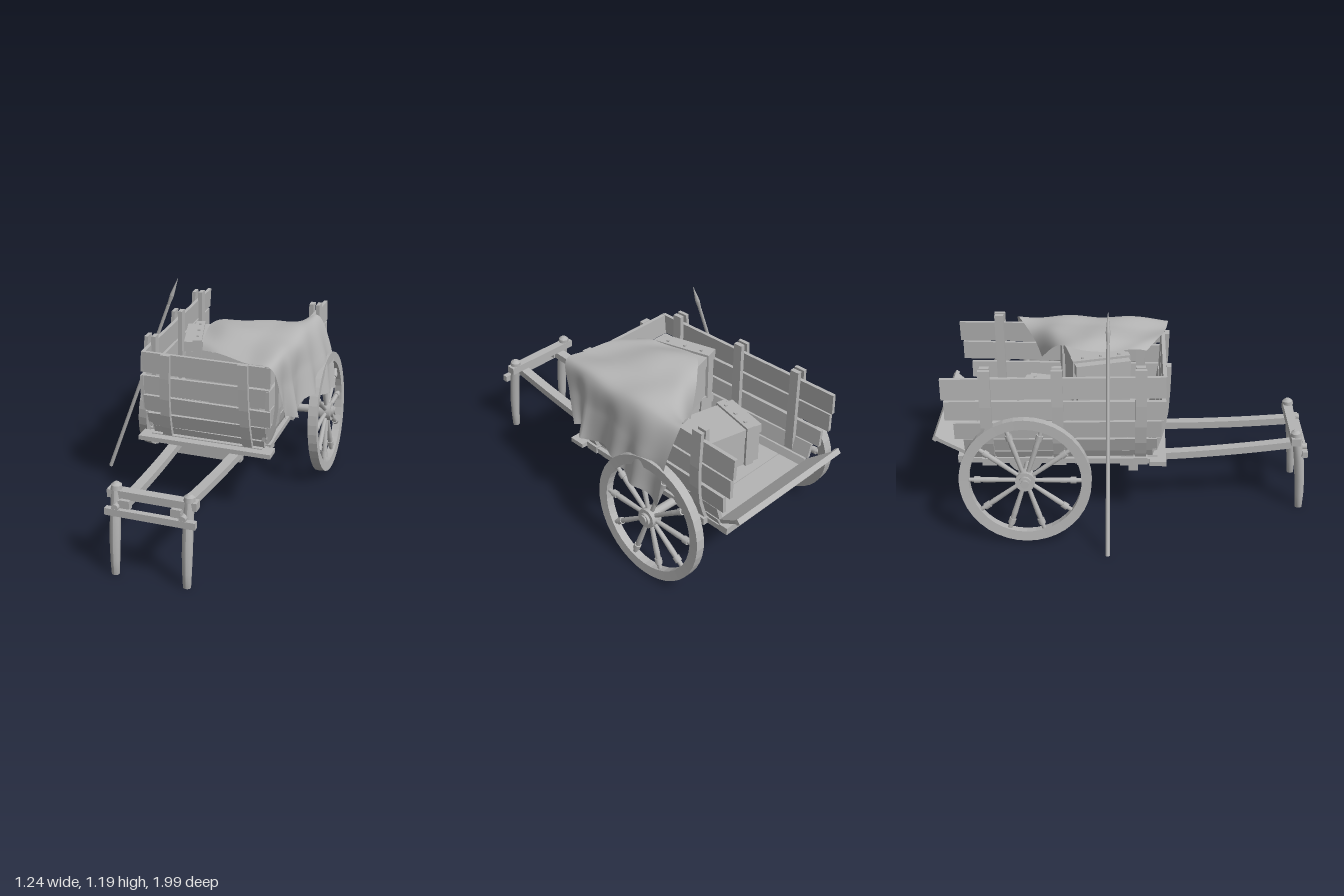
import * as THREE from 'three';

const wood = new THREE.MeshStandardMaterial({ color: 0xb4b4b4, side: THREE.DoubleSide });
wood.name = 'plain grey';
const V = (x, y, z) => new THREE.Vector3(x, y, z);
const CX = 0.07; // centre line of the cart bed

function add(parent, name, geo, x = 0, y = 0, z = 0) {
  const m = new THREE.Mesh(geo, wood);
  m.name = name;
  m.position.set(x, y, z);
  parent.add(m);
  return m;
}
const box = (p, name, w, h, d, x, y, z) => add(p, name, new THREE.BoxGeometry(w, h, d), x, y, z);

// Round bar between two points
function rod(p, name, a, b, r0, r1 = r0, seg = 10) {
  const m = add(p, name, new THREE.CylinderGeometry(r1, r0, a.distanceTo(b), seg));
  m.position.copy(a).lerp(b, 0.5);
  m.quaternion.setFromUnitVectors(V(0, 1, 0), b.clone().sub(a).normalize());
  return m;
}

// Bent board: a 2D line thickened by (dx, dy) and extruded to a width
function board(line, dx, dy, width) {
  const pts = line.map(q => new THREE.Vector2(q[0], q[1]));
  const back = pts.map(q => new THREE.Vector2(q.x + dx, q.y + dy)).reverse();
  const geo = new THREE.ExtrudeGeometry(new THREE.Shape([...pts, ...back]), { depth: width, bevelEnabled: false });
  return geo.translate(0, 0, -width / 2);
}
const across = geo => geo.rotateY(-Math.PI / 2); // line plane becomes z-y, width runs along x

function lookup(table, y) {
  for (let i = 1; i < table.length; i++) {
    const [y0, a] = table[i - 1], [y1, b] = table[i];
    if (y <= y1 || i === table.length - 1) return a + (b - a) * (y - y0) / (y1 - y0);
  }
}
const sideProfile = [[0.38, 0.305], [0.45, 0.335], [0.55, 0.36], [0.7, 0.362], [0.92, 0.35]];
const frontProfile = [[0.38, 0.15], [0.5, 0.19], [0.65, 0.215], [0.88, 0.222]];
const rows = [[0.385, 0.43], [0.435, 0.515], [0.525, 0.62], [0.635, 0.74], [0.755, 0.87]];

function makeSide(s) {
  const g = new THREE.Group();
  g.name = s > 0 ? 'leftWall' : 'rightWall';
  rows.forEach(([y0, y1], i) => {
    const zf = lookup(frontProfile, y0) - 0.005, zb = [-0.83, -0.85, -0.89, -0.94, -0.945][i];
    const m = add(g, 'sidePlank', board([[s * lookup(sideProfile, y0), y0], [s * lookup(sideProfile, y1), y1]], -s * 0.02, 0, zf - zb), 0, 0, (zf + zb) / 2);
    m.rotation.x = (i % 2 ? 0.006 : -0.004);
  });
  for (const z of [0.08, -0.35, -0.72]) {
    const top = s > 0 && z > -0.5 ? 0.87 : 0.92; // stakes under the cloth are shorter
    const line = [0.36, 0.42, 0.5, 0.6, 0.72, top].map(y => [s * lookup(sideProfile, y), y]);
    add(g, 'sideStake', board(line, s * 0.02, 0, 0.06), 0, 0, z);
    box(g, 'stakeFoot', 0.05, 0.04, 0.075, s * 0.32, 0.375, z);
    box(g, 'innerBatten', 0.025, top - 0.44, 0.05, s * 0.322, (top + 0.44) / 2, z);
  }
  g.position.x = CX;
  g.rotation.y = -s * 0.025;
  return g;
}

function makeWheel(s) {
  const g = new THREE.Group();
  g.name = s > 0 ? 'leftWheel' : 'rightWheel';
  // Rim with a rectangular section, turned about the axle
  const rim = [[0.292, -0.022], [0.344, -0.025], [0.344, 0.025], [0.292, 0.022], [0.292, -0.022]];
  const rimGeo = new THREE.LatheGeometry(rim.map(q => new THREE.Vector2(q[0], q[1])), 40).toNonIndexed();
  rimGeo.computeVertexNormals();
  add(g, 'rim', rimGeo.rotateZ(Math.PI / 2));
  rod(g, 'hub', V(-0.03, 0, 0), V(0.03, 0, 0), 0.052, 0.052, 16);
  rod(g, 'hubCollar', V(-0.045, 0, 0), V(0.045, 0, 0), 0.034, 0.034, 12);
  for (let i = 0; i < 10; i++) {
    const a = (i + 0.5) * Math.PI / 5;
    const at = r => V(0, r * Math.cos(a), r * Math.sin(a));
    rod(g, 'spoke', at(0.04), at(0.2), 0.011, 0.015, 8);
    rod(g, 'spokeEnd', at(0.2), at(0.3), 0.015, 0.011, 8);
    rod(g, 'spokeCollar', at(0.235), at(0.265), 0.019, 0.019, 8);
  }
  g.position.set(s > 0 ? 0.567 : -0.435, s > 0 ? 0.348 : 0.355, -0.508);
  g.rotation.z = s > 0 ? 0.065 : -0.1;
  return g;
}

function makeChest(name, w, h, d, x, y, z, turn) {
  const g = new THREE.Group();
  g.name = name;
  box(g, 'chestBody', w, h * 0.76, d, 0, h * 0.38, 0);
  box(g, 'chestLid', w + 0.012, h * 0.22, d + 0.012, 0, h * 0.88, 0);
  for (const s of [-1, 1]) {
    box(g, 'chestBand', 0.05, h + 0.01, d + 0.03, s * w * 0.34, h * 0.5 + 0.005, 0);
    for (const k of [-1, 0, 1]) box(g, 'rivet', 0.014, 0.01, 0.014, s * w * 0.34, h + 0.013, k * d * 0.35);
  }
  g.position.set(x, y, z);
  g.rotation.y = turn;
  return g;
}

// Draped cloth lofted through sections running from the inner edge to the hem
function makeCloth() {
  const sections = [
    [[0.03, 0.88, 0.12], [0.15, 0.89, 0.18], [0.30, 0.885, 0.225], [0.43, 0.885, 0.24], [0.465, 0.72, 0.18], [0.48, 0.55, 0.13]],
    [[-0.01, 0.90, -0.02], [0.1, 0.915, 0], [0.27, 0.90, 0], [0.455, 0.89, 0], [0.48, 0.72, 0], [0.495, 0.54, 0.02]],
    [[-0.03, 0.908, -0.24], [0.1, 0.925, -0.2], [0.28, 0.92, -0.2], [0.46, 0.89, -0.2], [0.51, 0.72, -0.22], [0.545, 0.56, -0.22]],
    [[0.08, 0.89, -0.36], [0.2, 0.908, -0.37], [0.32, 0.90, -0.38], [0.465, 0.89, -0.4], [0.545, 0.72, -0.4], [0.585, 0.51, -0.4]],
    [[0.23, 0.74, -0.46], [0.3, 0.81, -0.5], [0.38, 0.86, -0.55], [0.465, 0.885, -0.61], [0.555, 0.70, -0.6], [0.585, 0.48, -0.585]],
  ].map(s => new THREE.CatmullRomCurve3(s.map(p => V(...p))));
  const N = 48, pos = [], idx = [];
  for (let j = 0; j <= N; j++) {
    const v = j / N, rail = new THREE.CatmullRomCurve3(sections.map(c => c.getPoint(v)));
    for (let i = 0; i <= N; i++) {
      const u = i / N, p = rail.getPoint(u), hang = Math.max(0, (v - 0.62) / 0.38);
      p.x += hang * (0.014 * Math.sin(u * 24 + v * 2) + 0.04 * Math.exp(-(((u - 0.2) / 0.05) ** 2)));
      p.y += (1 - hang) * 0.007 * Math.sin(u * 14 + v * 9) + hang * 0.012 * Math.sin(u * 17);
      pos.push(p.x, p.y, p.z);
      if (i < N && j < N) {
        const a = j * (N + 1) + i, b = a + N + 1;
        idx.push(a, b, a + 1, b, b + 1, a + 1);
      }
    }
  }
  const geo = new THREE.BufferGeometry();
  geo.setAttribute('position', new THREE.Float32BufferAttribute(pos, 3));
  geo.setIndex(idx);
  geo.computeVertexNormals();
  return geo;
}

// Turned leg, swelling in the middle and bowed forward towards the foot
function makeLeg() {
  const outline = [[0, 0], [0.02, 0], [0.024, 0.08], [0.027, 0.18], [0.027, 0.3], [0.025, 0.45]];
  const geo = new THREE.LatheGeometry(outline.map(q => new THREE.Vector2(...q)), 12);
  const p = geo.attributes.position;
  for (let i = 0; i < p.count; i++) p.setZ(i, p.getZ(i) + 0.972 - 0.21 * (p.getY(i) - 0.08) ** 2 - 0.03 * p.getY(i));
  geo.computeVertexNormals();
  return geo;
}

export function createModel() {
  const cart = new THREE.Group();
  cart.name = 'cart';

  // Bed boards, edge beams and ribs
  for (let i = 0; i < 6; i++) box(cart, 'bedBoard', 0.62, 0.022, 0.166, CX, 0.379, 0.095 - i * 0.17);
  box(cart, 'frontSill', 0.74, 0.025, 0.09, CX, 0.373, 0.18);
  box(cart, 'rearSill', 0.68, 0.04, 0.05, CX, 0.378, -0.855);
  for (const s of [-1, 1]) box(cart, 'sideSill', 0.05, 0.03, 1.04, CX + s * 0.31, 0.37, -0.34);
  for (const z of [-0.02, -0.25, -0.7])
    add(cart, 'bedRib', across(board([[z, 0.335], [z, 0.368]], 0.05, 0, 0.64)), CX);
  box(cart, 'frontBolster', 0.38, 0.055, 0.05, 0.045, 0.265, 0.05);
  box(cart, 'bolsterCap', 0.3, 0.03, 0.04, 0.055, 0.31, 0.05);

  // Walls
  cart.add(makeSide(1), makeSide(-1));
  rows.forEach(([y0, y1], i) => {
    const w = [0.62, 0.66, 0.7, 0.7, 0.7][i];
    const line = [y0, y1].map(y => [lookup(frontProfile, y), y]);
    add(cart, 'frontPlank', across(board(line, -0.02, 0, w)), CX + 0.005).rotation.z = i % 2 ? 0.008 : -0.005;
  });
  for (const s of [-1, 1]) {
    const line = [0.37, 0.44, 0.52, 0.62, 0.74, 0.875].map(y => [lookup(frontProfile, y), y]);
    add(cart, 'frontStake', across(board(line, 0.025, 0, 0.052)), CX + 0.005 + s * 0.237).rotation.z = s * 0.03;
  }
  // Open tailboard, wider at its free edge
  const gate = new THREE.Shape([[-0.34, 0], [0.34, 0], [0.385, 0.19], [-0.385, 0.19]].map(q => new THREE.Vector2(...q)));
  const tail = add(cart, 'tailboard', new THREE.ExtrudeGeometry(gate, { depth: 0.02, bevelEnabled: false }), CX, 0.412, -0.842);
  tail.rotation.x = -0.93;
  const rail = box(cart, 'tailboardRail', 0.78, 0.022, 0.03, CX, 0.533, -0.982);
  rail.rotation.x = -0.93;

  // Curved shafts running under the bed
  const shaftLine = new THREE.SplineCurve([[0.97, 0.365], [0.6, 0.328], [0.2, 0.305], [-0.3, 0.305], [-0.87, 0.35]].map(q => new THREE.Vector2(...q)));
  for (const s of [-1, 1]) {
    const geo = across(board(shaftLine.getPoints(20).map(q => [q.x, q.y]), 0, 0.04, 0.052));
    add(cart, 'shaft', geo, 0.06 + s * 0.182).rotation.y = -s * 0.05;
    // Rounded axle bracket
    const disc = new THREE.CylinderGeometry(0.095, 0.095, 0.04, 16, 1, false, 0, Math.PI).rotateX(Math.PI / 2).rotateZ(-Math.PI / 2).rotateY(Math.PI / 2);
    add(cart, 'axleBracket', disc, CX + s * 0.255, 0.355, -0.53);
    // Prop leg with a peg on top
    const x = 0.065 + s * 0.186;
    add(cart, 'propLeg', makeLeg(), x);
    rod(cart, 'pegHead', V(x, 0.445, 0.928), V(x, 0.468, 0.926), 0.03, 0.028, 8);
    rod(cart, 'pegTip', V(x, 0.468, 0.926), V(x, 0.482, 0.926), 0.028, 0.012, 8);
    rod(cart, 'legPin', V(x - s * 0.015, 0.375, 0.94), V(x - s * 0.015, 0.375, 0.992), 0.018);
    box(cart, 'yokeBlock', 0.05, 0.05, 0.04, x - s * 0.055, 0.385, 0.95);
  }
  box(cart, 'upperYoke', 0.455, 0.042, 0.05, 0.065, 0.427, 0.925);
  box(cart, 'lowerYoke', 0.46, 0.036, 0.03, 0.07, 0.35, 0.978);

  // Axle and wheels
  rod(cart, 'axle', V(CX, 0.33, -0.508), V(0.62, 0.358, -0.508), 0.024, 0.022);
  rod(cart, 'axle', V(CX, 0.33, -0.508), V(-0.488, 0.358, -0.508), 0.024, 0.022);
  box(cart, 'axleBeam', 0.48, 0.05, 0.07, CX, 0.33, -0.508);
  cart.add(makeWheel(1), makeWheel(-1));

  // Load
  cart.add(makeChest('rearChest', 0.42, 0.23, 0.25, 0.05, 0.39, -0.45, -0.23));
  cart.add(makeChest('lowerChest', 0.46, 0.24, 0.26, 0.08, 0.39, -0.13, 0));
  cart.add(makeChest('upperChest', 0.40, 0.255, 0.28, 0.055, 0.63, -0.16, 0.27));
  box(cart, 'frontCrate', 0.2, 0.2, 0.1, -0.07, 0.49, 0.07);
  add(cart, 'cloth', makeCloth());

  // Leaning spear
  const foot = V(-0.612, 0.005, -0.08), tip = V(-0.18, 1.19, -0.08);
  const along = t => foot.clone().lerp(tip, t);
  rod(cart, 'spearShaft', foot, along(0.87), 0.011, 0.009);
  rod(cart, 'spearHeadBase', along(0.87), along(0.92), 0.008, 0.012, 8);
  rod(cart, 'spearHeadTip', along(0.92), tip, 0.012, 0.001, 8);
  return cart;
}
